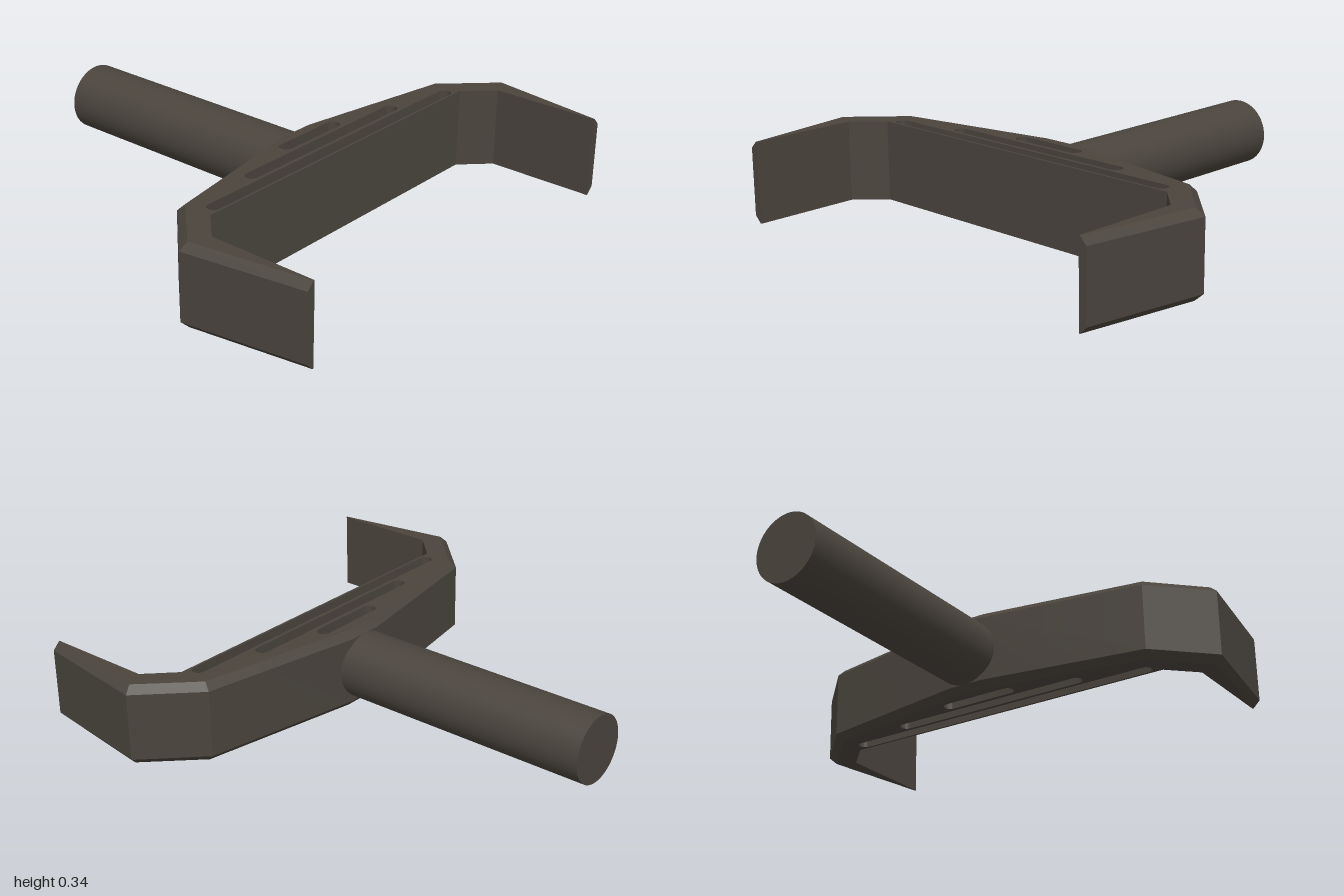
import * as THREE from 'three';
import { toCreasedNormals } from 'three/addons/utils/BufferGeometryUtils.js';

const HEIGHT = 0.343;
const BEVEL = 0.03;

// Right half of the plan as [x, z], from the handle round to the prong tip
const EDGE = [[0.08, 0.138], [0.78, 0.262], [1, 0.485], [0.92, 1]];        // widest outline
const CAP_EDGE = [[0.077, 0.168], [0.767, 0.291], [0.968, 0.498], [0.89, 1]]; // bevelled outline
const INNER = [[0.885, 1], [0.885, 0.535], [0.77, 0.42]];

// Slots as [half length, back z, front z]
const SLOTS = [[0.172, 0.21, 0.266], [0.456, 0.284, 0.34], [0.74, 0.355, 0.41]];

function slotPath([half, z0, z1]) {
  const r = (z1 - z0) / 2;
  const zc = (z0 + z1) / 2;
  const path = new THREE.Path();
  path.absarc(half - r, zc, r, -Math.PI / 2, Math.PI / 2, false);
  path.absarc(-half + r, zc, r, Math.PI / 2, Math.PI * 1.5, false);
  path.closePath();
  return path;
}

function yokeGeometry() {
  const right = [...CAP_EDGE, ...INNER];
  const left = right.map(([x, z]) => [-x, z]).reverse();
  const shape = new THREE.Shape([...right, ...left].map(([x, z]) => new THREE.Vector2(x, z)));
  shape.holes = SLOTS.map(slotPath);
  const geometry = new THREE.ExtrudeGeometry(shape, {
    depth: HEIGHT, steps: 3, bevelEnabled: false, curveSegments: 8,
  });

  // Push the outer edge of the two middle layers outward to bevel the outside only
  const pos = geometry.attributes.position;
  for (let i = 0; i < pos.count; i++) {
    const layer = Math.round((pos.getZ(i) / HEIGHT) * 3);
    if (layer === 0 || layer === 3) continue;
    pos.setZ(i, layer === 1 ? BEVEL : HEIGHT - BEVEL);
    const x = pos.getX(i);
    const k = CAP_EDGE.findIndex(([px, pz]) =>
      Math.abs(Math.abs(x) - px) < 1e-4 && Math.abs(pos.getY(i) - pz) < 1e-4);
    if (k >= 0) {
      pos.setX(i, Math.sign(x) * EDGE[k][0]);
      pos.setY(i, EDGE[k][1]);
    }
  }

  // Lay the plan flat
  geometry.rotateX(Math.PI / 2).translate(0, HEIGHT, 0);
  return toCreasedNormals(geometry, 0.42);
}

export function createModel() {
  const group = new THREE.Group();
  group.name = 'forkedYoke';
  const darkMetal = new THREE.MeshStandardMaterial({ color: 0x4a443d });
  darkMetal.name = 'darkMetal';

  // Slotted crossbar with two tapering prongs
  const yoke = new THREE.Mesh(yokeGeometry(), darkMetal);
  yoke.name = 'yoke';

  // Round handle running back from the crossbar
  const back = -1, front = 0.17;
  const handle = new THREE.Mesh(
    new THREE.CylinderGeometry(0.142, 0.142, front - back, 48).rotateX(Math.PI / 2), darkMetal);
  handle.name = 'handle';
  handle.position.set(0, HEIGHT / 2, (front + back) / 2);

  group.add(yoke, handle);
  return group;
}
